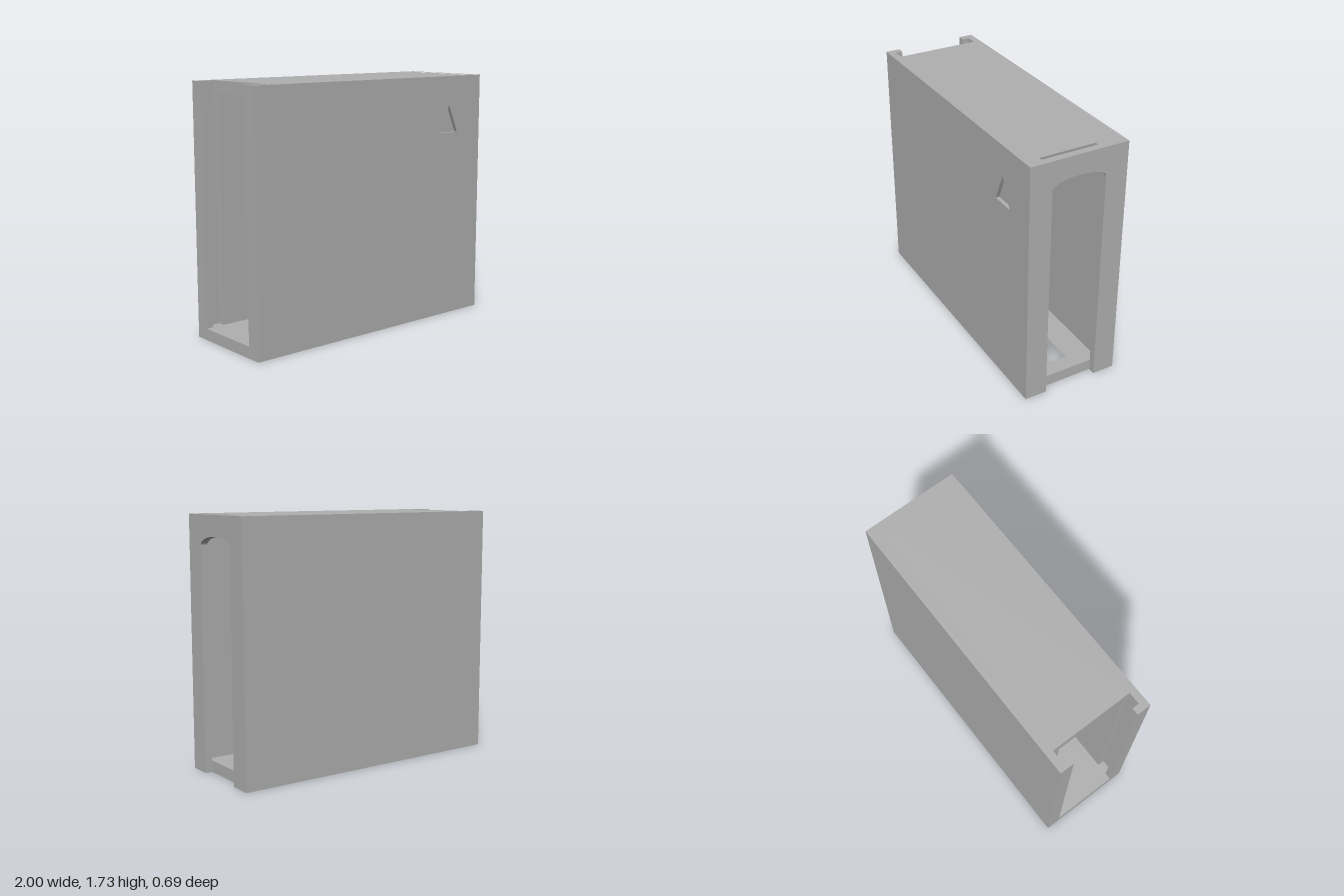
import * as THREE from 'three';

const H = 1.73, HALF_DEPTH = 0.345, SKIN = 0.025;
const FLOOR = 0.08, CEILING = 1.65;      // inside levels
const INNER = 0.245, GROOVE = 0.295;     // half widths of the cavity and of the lid groove
const FRONT = HALF_DEPTH - SKIN;         // the front skin is laid over this plane

const trace = (P, pts) => new P(pts.map(([x, y]) => new THREE.Vector2(x, y)));

// Extrudes a floor plan given as [x, z] points from y0 up to y1
function extrudePlan(outline, holes, y0, y1) {
  const flip = (pts) => pts.map(([x, z]) => [x, -z]);
  const shape = trace(THREE.Shape, flip(outline));
  shape.holes = holes.map((h) => trace(THREE.Path, flip(h)));
  const geo = new THREE.ExtrudeGeometry(shape, { depth: y1 - y0, bevelEnabled: false });
  return geo.rotateX(-Math.PI / 2).translate(0, y0, 0);
}

const rect = (x0, x1, z0, z1) => [[x0, z0], [x1, z0], [x1, z1], [x0, z1]];

export function createModel() {
  const group = new THREE.Group();
  group.name = 'dispenserBox';
  const grey = new THREE.MeshStandardMaterial({ color: 0xb0b0b0 });
  grey.name = 'plain grey';
  const add = (name, geo) => {
    const mesh = new THREE.Mesh(geo, grey);
    mesh.name = name;
    group.add(mesh);
  };

  // Floor with a long slot and a notch under the arched opening
  add('floor', extrudePlan(
    [[-1, -HALF_DEPTH], [1, -HALF_DEPTH], [1, -0.19], [0.95, -0.19],
      [0.95, 0.19], [1, 0.19], [1, FRONT], [-1, FRONT]],
    [rect(-0.45, 0.84, -0.065, 0.065)], 0, FLOOR));

  // Side walls, each with a vertical groove for a sliding lid
  for (const [name, s, outer] of [['frontWall', 1, FRONT], ['backWall', -1, HALF_DEPTH]]) {
    add(name, extrudePlan(
      [[-1, outer], [-1, INNER], [-0.95, INNER], [-0.95, GROOVE], [-0.865, GROOVE],
        [-0.865, INNER], [1, INNER], [1, outer]].map(([x, z]) => [x, s * z]),
      [], FLOOR, CEILING));
  }

  // Roof with the lid's entry cut-out and a thin slit for a window pane
  const half = [[-1, INNER], [-0.95, INNER], [-0.95, GROOVE], [-0.865, GROOVE]];
  add('roof', extrudePlan(
    [[-1, -HALF_DEPTH], [1, -HALF_DEPTH], [1, FRONT], [-1, FRONT],
      ...half, ...half.map(([x, z]) => [x, -z]).reverse()],
    [rect(0.925, 0.95, -0.24, 0.24)], CEILING, H));

  // End wall with a tall opening under a shallow arch
  const end = new THREE.Shape();
  end.moveTo(-INNER, FLOOR);
  end.lineTo(-0.19, FLOOR);
  end.lineTo(-0.19, 1.53);
  end.absellipse(0, 1.53, 0.19, 0.06, Math.PI, 0, true);
  end.lineTo(0.19, FLOOR);
  end.lineTo(INNER, FLOOR);
  end.lineTo(INNER, CEILING);
  end.lineTo(-INNER, CEILING);
  const endGeo = new THREE.ExtrudeGeometry(end, { depth: 0.05, bevelEnabled: false, curveSegments: 24 });
  add('archedEndWall', endGeo.rotateY(Math.PI / 2).translate(0.95, 0, 0));

  // Front skin with a recessed triangular mark
  const skin = trace(THREE.Shape, [[-1, 0], [1, 0], [1, H], [-1, H]]);
  skin.holes.push(trace(THREE.Path, [[0.6, 1.33], [0.685, 1.525], [0.77, 1.33]]));
  const skinGeo = new THREE.ExtrudeGeometry(skin, { depth: SKIN, bevelEnabled: false });
  add('frontSkin', skinGeo.translate(0, 0, FRONT));

  return group;
}
